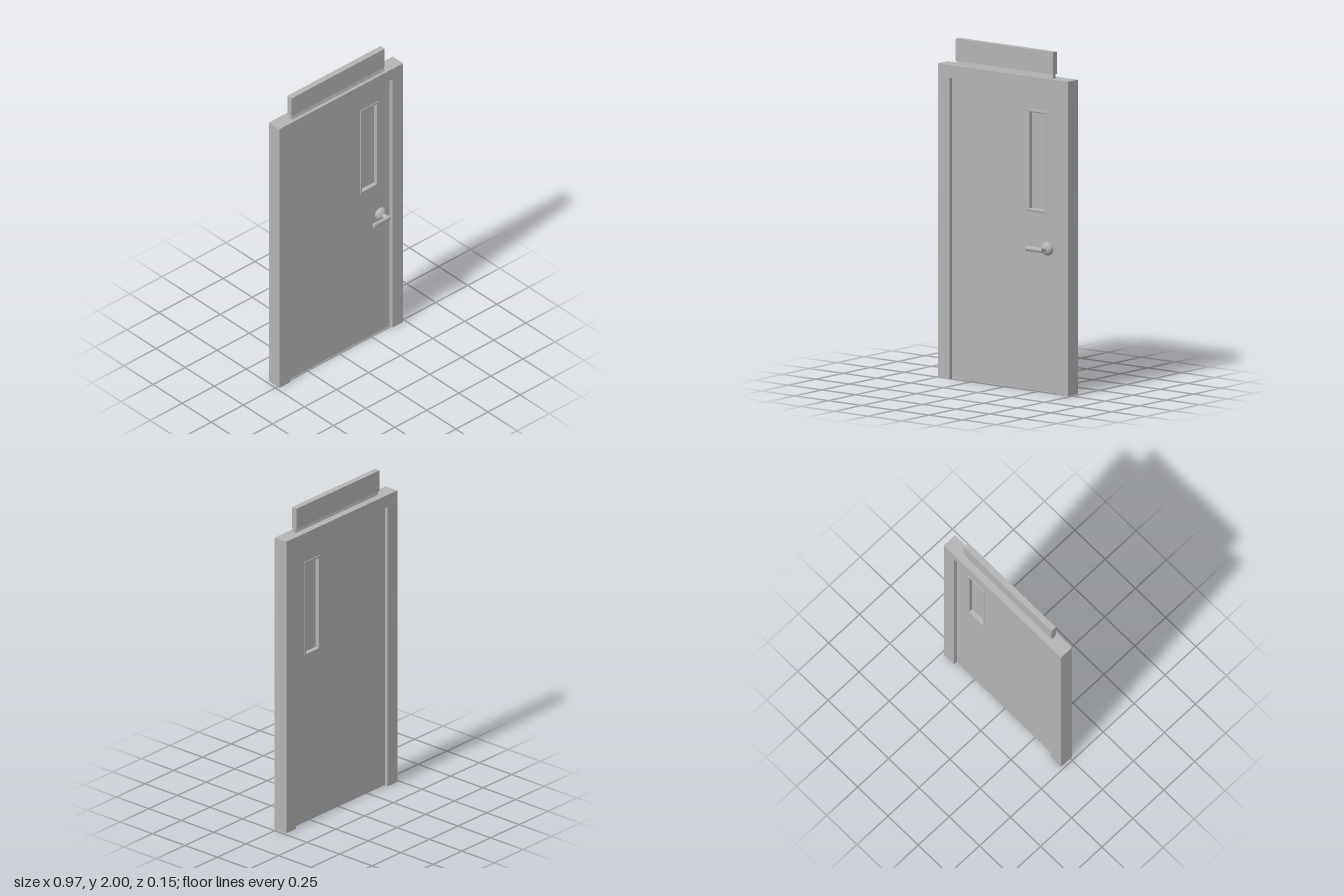
import * as THREE from 'three';

const grey = new THREE.MeshStandardMaterial({ color: 0xb4b4b4, side: THREE.DoubleSide });
grey.name = 'plain grey';

function add(parent, name, geometry, x = 0, y = 0, z = 0) {
  const mesh = new THREE.Mesh(geometry, grey);
  mesh.name = name;
  mesh.position.set(x, y, z);
  parent.add(mesh);
  return mesh;
}

// Rectangle outline from its edges, as a shape or a hole
function rect(Type, x0, x1, y0, y1) {
  return new Type([[x0, y0], [x1, y0], [x1, y1], [x0, y1]].map(([x, y]) => new THREE.Vector2(x, y)));
}

function extrude(shape, depth, bevel = 0) {
  return new THREE.ExtrudeGeometry(shape, {
    depth, bevelEnabled: bevel > 0, bevelSize: bevel, bevelThickness: bevel, bevelSegments: 1, curveSegments: 8,
  });
}

// Remove the faces lying on the floor, leaving the legs open
function openBottom(geometry) {
  const g = geometry.index ? geometry.toNonIndexed() : geometry;
  const p = g.attributes.position;
  const kept = [];
  for (let i = 0; i < p.count; i += 3) {
    if (Math.max(p.getY(i), p.getY(i + 1), p.getY(i + 2)) < 1e-4) continue;
    for (let k = i; k < i + 3; k++) kept.push(p.getX(k), p.getY(k), p.getZ(k));
  }
  const out = new THREE.BufferGeometry();
  out.setAttribute('position', new THREE.Float32BufferAttribute(kept, 3));
  out.computeVertexNormals();
  return out;
}

export function createModel() {
  const model = new THREE.Group();
  model.name = 'door';

  // Hollow frame: two jambs and a head
  const w = 0.483, i = 0.4;
  const outline = [[-w, 0], [-i, 0], [-i, 1.77], [i, 1.77], [i, 0], [w, 0], [w, 1.845], [-w, 1.845]];
  const frameShape = new THREE.Shape(outline.map(([x, y]) => new THREE.Vector2(x, y)));
  add(model, 'frame', openBottom(extrude(frameShape, 0.09)), 0, 0, -0.075);

  // Door leaf, set back from both frame faces, with a window opening
  const leaf = rect(THREE.Shape, -0.398, 0.396, 0.004, 1.767);
  leaf.holes.push(rect(THREE.Path, 0.17, 0.303, 1.055, 1.645));
  add(model, 'doorLeaf', extrude(leaf, 0.05), 0, 0, -0.055);

  // Window trim with a small lip on both faces, and its pane
  const trim = rect(THREE.Shape, 0.168, 0.305, 1.053, 1.648);
  trim.holes.push(rect(THREE.Path, 0.178, 0.295, 1.064, 1.636));
  add(model, 'windowTrim', extrude(trim, 0.05, 0.003), 0, 0, -0.055);
  add(model, 'windowPane', new THREE.BoxGeometry(0.126, 0.58, 0.008), 0.2365, 1.35, -0.03);

  // Sign above the frame on a tapered foot
  add(model, 'sign', new THREE.BoxGeometry(0.725, 0.13, 0.036), -0.0065, 1.935, -0.022);
  const foot = new THREE.Shape([[0.003, 0], [0.033, 0], [0.028, 0.026], [0.01, 0.026]]
    .map(([x, y]) => new THREE.Vector2(x, y)));
  add(model, 'signFoot', extrude(foot, 0.72), -0.366, 1.8445, 0).rotation.y = Math.PI / 2;

  // Lever handle on the front only
  const handle = new THREE.Group();
  handle.name = 'handle';
  handle.position.set(0.319, 0.845, 0);
  model.add(handle);
  const rose = [[0.039, -0.006], [0.039, 0.009], [0.035, 0.016], [0.024, 0.026], [0.014, 0.029]]
    .map(([r, y]) => new THREE.Vector2(r, y));
  add(handle, 'rose', new THREE.LatheGeometry(rose, 24)).rotation.x = Math.PI / 2;
  const shank = add(handle, 'shank', new THREE.CylinderGeometry(0.014, 0.014, 0.055, 16), 0, 0, 0.0375);
  shank.rotation.x = Math.PI / 2;
  const lever = add(handle, 'lever', new THREE.CylinderGeometry(0.0115, 0.0115, 0.123, 16), -0.0475, 0, 0.0635);
  lever.rotation.z = Math.PI / 2;
  lever.scale.x = 1.3;

  return model;
}
